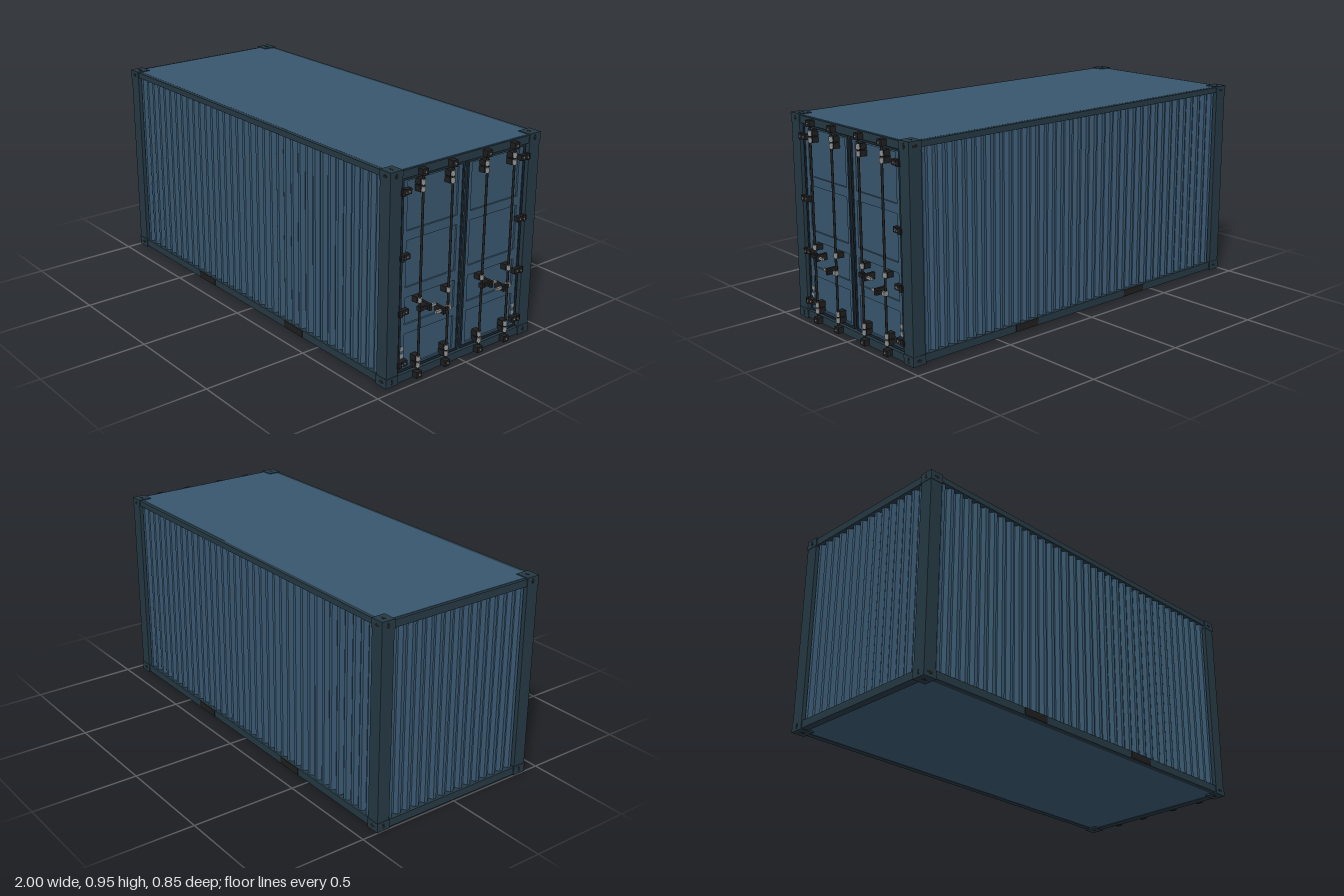
import * as THREE from 'three';

const mat = (name, color) => new THREE.MeshStandardMaterial({ name, color });

export function createModel() {
  const body = mat('body blue', 0x38566e);
  const frame = mat('frame dark blue', 0x253843);
  const black = mat('black iron', 0x1e1e1f);
  const seal = mat('door seal', 0x1c2831);
  const steel = mat('bare steel', 0x8c8d8e);

  const model = new THREE.Group();
  model.name = 'shippingContainer';

  const add = (name, geometry, material, x = 0, y = 0, z = 0, parent = model) => {
    const m = new THREE.Mesh(geometry, material);
    m.name = name;
    m.position.set(x, y, z);
    parent.add(m);
    return m;
  };
  // Box given by its extents on each axis
  const span = (name, material, [x0, x1], [y0, y1], [z0, z1], parent) =>
    add(name, new THREE.BoxGeometry(x1 - x0, y1 - y0, z1 - z0), material,
      (x0 + x1) / 2, (y0 + y1) / 2, (z0 + z1) / 2, parent);

  const X0 = -1, X1 = 0.965, ZH = 0.425, TOP = 0.95, BASE = 0.004;
  const cw = 0.066, ch = 0.043; // corner casting size

  // Corner posts and castings with oval openings
  const oval = new THREE.CylinderGeometry(0.0065, 0.0065, 0.002, 16);
  oval.rotateX(Math.PI / 2);
  oval.scale(1, 2, 1);
  for (const sx of [-1, 1]) for (const sz of [-1, 1]) {
    const xe = sx < 0 ? X0 : X1;
    const xc = xe - sx * cw / 2, zc = sz * (ZH - cw / 2);
    add('cornerPost', new THREE.BoxGeometry(cw - 0.004, TOP - BASE - 0.04, cw - 0.004),
      frame, xc, (TOP + BASE) / 2, zc);
    for (const top of [true, false]) {
      const yc = top ? TOP - ch / 2 : BASE + ch / 2;
      add('cornerCasting', new THREE.BoxGeometry(cw, ch, cw), frame, xc, yc, zc);
      add('castingOpening', oval, black, xe, yc, zc).rotation.y = Math.PI / 2;
      const side = add('castingOpening', oval, black, xc, yc, sz * ZH);
      side.rotation.z = Math.PI / 2;
      const cap = add('castingOpening', oval, black, xc, top ? TOP : BASE, zc);
      cap.rotation.set(Math.PI / 2, 0, Math.PI / 2);
    }
  }

  // Side rails, with forklift pockets in the bottom ones
  const railX = [X0 + 0.06, X1 - 0.06];
  for (const s of [-1, 1]) {
    const z = [0.392, 0.42].map(v => v * s).sort((a, b) => a - b);
    span('topSideRail', frame, railX, [0.92, 0.946], z);
    span('bottomSideRail', frame, railX, [0.01, 0.045], z);
    for (const [a, b] of [[-0.435, -0.3], [0.26, 0.395]])
      span('forkliftPocket', black, [a, b], [0.011, 0.044],
        s > 0 ? [0.417, 0.4225] : [-0.4225, -0.417]);
  }

  // End beams
  for (const [x0, x1] of [[X0 + 0.004, X0 + 0.04], [X1 - 0.04, X1 - 0.004]]) {
    span('topEndBeam', frame, [x0, x1], [0.91, 0.944], [-0.365, 0.365]);
    span('bottomEndBeam', frame, [x0, x1], [0.008, 0.043], [-0.365, 0.365]);
  }

  // Roof and floor
  span('roof', body, [-0.982, 0.952], [0.93, 0.9465], [-0.402, 0.402]);
  span('floor', body, [-0.965, 0.93], [0.012, 0.03], [-0.395, 0.395]);

  // Corrugated wall, its ribs facing -z before it is turned
  const wall = (length, ribs, depth, y0, y1) => {
    const shape = new THREE.Shape();
    const p = length / ribs, h = length / 2;
    shape.moveTo(-h, -0.01);
    shape.lineTo(h, -0.01);
    shape.lineTo(h, 0);
    for (let i = ribs - 1; i >= 0; i--) {
      const x = -h + i * p;
      shape.lineTo(x + p * 0.86, 0);
      shape.lineTo(x + p * 0.66, depth);
      shape.lineTo(x + p * 0.34, depth);
      shape.lineTo(x + p * 0.14, 0);
    }
    shape.lineTo(-h, 0);
    const g = new THREE.ExtrudeGeometry(shape, { depth: y1 - y0, bevelEnabled: false });
    g.rotateX(-Math.PI / 2);
    g.translate(0, y0, 0);
    return g;
  };
  const sideWall = wall(1.85, 36, 0.018, 0.035, 0.93);
  add('backWall', sideWall, body, -0.0175, 0, -0.394);
  add('frontWall', sideWall, body, -0.0175, 0, 0.394).rotation.y = Math.PI;
  add('endWall', wall(0.74, 15, 0.018, 0.035, 0.93), body, -0.967).rotation.y = Math.PI / 2;

  // Door backing and jambs
  span('doorBacking', body, [0.925, 0.941], [0.035, 0.92], [-0.37, 0.37]);

  // Plate on the door end with rectangular holes; rectangles are [z0, z1, y0, y1]
  const rect = (Type, [a, b, c, d]) => {
    const r = new Type();
    r.moveTo(-b, c);
    r.lineTo(-a, c);
    r.lineTo(-a, d);
    r.lineTo(-b, d);
    r.closePath();
    return r;
  };
  const plate = (name, material, x, depth, outer, holes, parent) => {
    const shape = rect(THREE.Shape, outer);
    shape.holes = holes.map(h => rect(THREE.Path, h));
    const g = new THREE.ExtrudeGeometry(shape, { depth, bevelEnabled: false });
    g.rotateY(Math.PI / 2);
    return add(name, g, material, x, 0, 0, parent);
  };

  const rod = new THREE.CylinderGeometry(0.0055, 0.0055, 0.86, 12);
  const clamp = new THREE.CylinderGeometry(0.01, 0.01, 0.022, 12);
  const bolt = new THREE.CylinderGeometry(0.004, 0.004, 0.003, 10);
  bolt.rotateZ(Math.PI / 2);

  for (const s of [1, -1]) {
    const door = new THREE.Group();
    door.name = s > 0 ? 'leftDoor' : 'rightDoor';
    model.add(door);
    const zr = (a, b) => (s > 0 ? [a, b] : [-b, -a]);
    const panels = [[0.677, 0.89], [0.428, 0.635], [0.26, 0.383], [0.065, 0.217]];
    plate('doorLeaf', body, 0.938, 0.011, [...zr(0.014, 0.345), 0.054, 0.901],
      panels.map(y => [...zr(0.038, 0.318), ...y]), door);
    plate('doorSeal', seal, 0.941, 0.012, [...zr(0.008, 0.35), 0.048, 0.906],
      [[...zr(0.018, 0.34), 0.058, 0.897]], door);

    // Hinges
    for (const y of [0.853, 0.573, 0.328, 0.093]) {
      span('hinge', black, [0.945, 0.968], [y - 0.012, y + 0.012], zr(0.312, 0.366), door);
      const pin = new THREE.CylinderGeometry(0.008, 0.008, 0.028, 10);
      add('hingePin', pin, black, 0.966, y, s * 0.352, door);
      for (const z of [0.327, 0.345])
        add('hingeBolt', bolt, steel, z < 0.34 ? 0.9685 : 0.974, y, s * z, door);
    }

    // Small grey plates
    for (const y of [0.155, 0.122])
      span('markerPlate', steel, [0.948, 0.951], [y - 0.009, y + 0.009], zr(0.32, 0.342), door);

    // Locking bars with their keepers, guides and clamps
    for (const zb of [0.26, 0.098]) {
      const z = s * zb;
      add('lockingBar', rod, black, 0.976, 0.478, z, door);
      for (const y of [0.925, 0.026]) {
        span('barKeeper', black, [0.955, 0.988], [y - 0.014, y + 0.014], [z - 0.015, z + 0.015], door);
        add('keeperBolt', bolt, steel, 0.989, y, z, door);
      }
      for (const y of [0.882, 0.852, 0.368, 0.099, 0.07]) {
        span('barGuide', black, [0.943, 0.974], [y - 0.013, y + 0.013], [z - 0.014, z + 0.014], door);
        add('barClamp', clamp, steel, 0.976, y, z, door);
      }
    }

    // Lock handles, repeated on each door rather than mirrored
    const o = s > 0 ? 0 : -0.358;
    for (const [y, zPivot, dir] of [[0.33, 0.26, -1], [0.288, 0.098, 1]]) {
      const at = (a, b) => [zPivot + dir * a + o, zPivot + dir * b + o].sort((m, n) => m - n);
      span('handleHub', dir > 0 ? steel : black, [0.968, 0.99], [y - 0.01, y + 0.01], at(-0.009, 0.008), door);
      span('handleArm', black, [0.98, 0.991], [y - 0.006, y + 0.006], at(0.005, 0.05), door);
      span('handleGrip', steel, [0.98, 0.991], [y - 0.006, y + 0.006], at(0.045, 0.08), door);
      span('handleCatch', black, [0.945, 1], [y - 0.015, y + 0.015], at(0.034, 0.047), door);
    }
  }

  return model;
}
